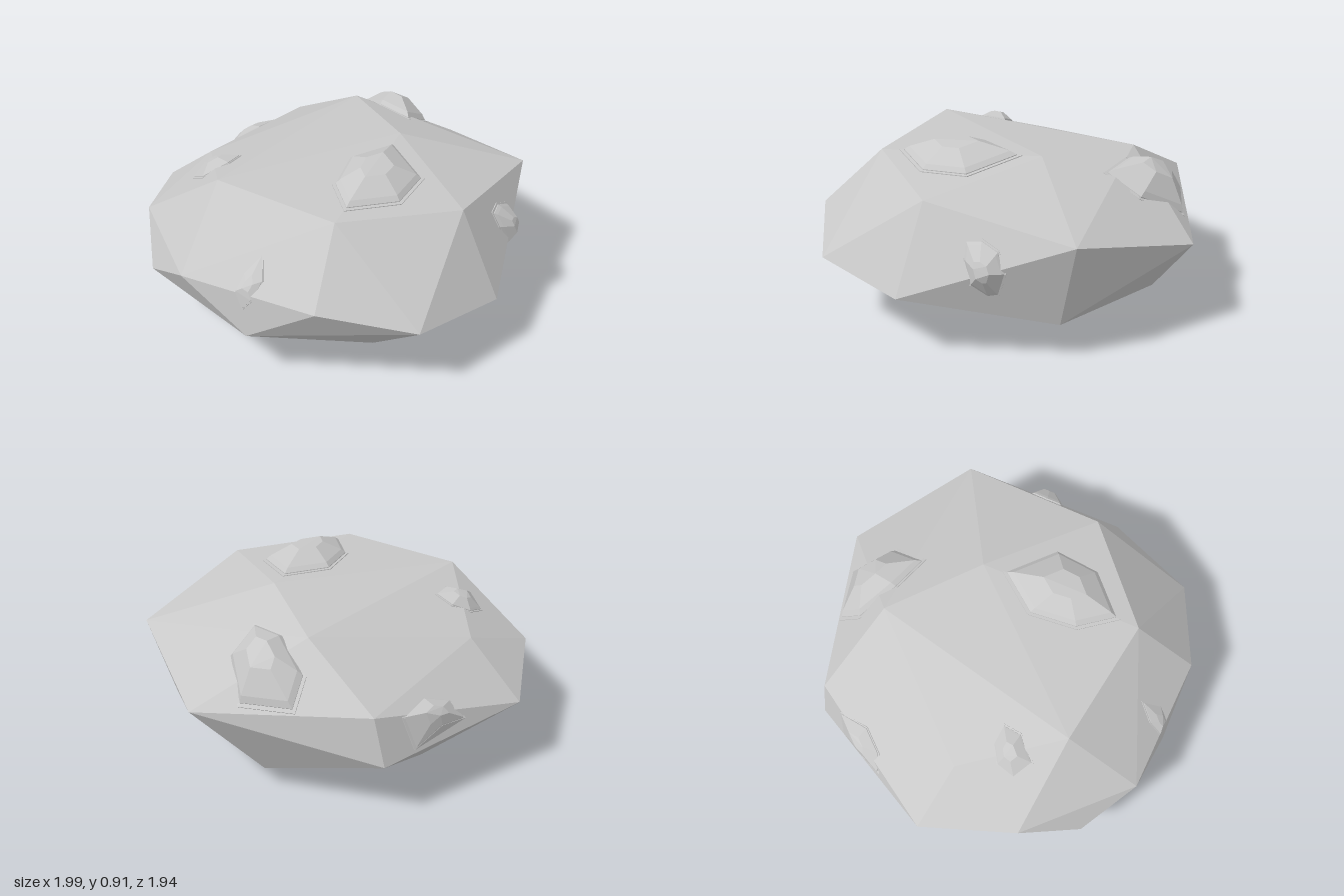
import * as THREE from 'three';
import { ConvexGeometry } from 'three/addons/geometries/ConvexGeometry.js';

const V = (x, y, z) => new THREE.Vector3(x, y, z);

export function createModel() {
  const group = new THREE.Group();
  const stone = new THREE.MeshStandardMaterial({ color: 0xc8c8c8, flatShading: true });
  stone.name = 'stone grey';

  // Main boulder: a faceted hull, listed from the top down
  const corners = [
    [0.3, 0.85, -0.2], [-0.08, 0.81, -0.6], [-0.42, 0.81, 0.5], [0.25, 0.8, 0.65], [0.77, 0.76, 0.27],
    [0.9, 0.65, -0.49], [-0.7, 0.65, 0], [-0.5, 0.57, -0.79], [0.38, 0.49, -0.97],
    [0.27, 0.49, 0.97], [-0.45, 0.485, 0.89], [-0.88, 0.49, 0.4], [-1, 0.4, -0.1],
    [0.73, 0.39, 0.81], [0.985, 0.34, 0.35], [-0.72, 0.33, 0.69], [-0.56, 0.32, -0.8], [-0.09, 0.26, 0.95],
    [0.8, 0.2, -0.4], [0.1, 0.11, -0.75], [-0.56, 0.07, 0.42], [0.42, 0.06, 0.55],
    [-0.55, 0.065, -0.255], [0.22, 0, -0.1],
  ].map(p => V(...p));
  const boulder = new THREE.Mesh(new ConvexGeometry(corners), stone);
  boulder.name = 'boulder';
  group.add(boulder);

  // Maps a 2D outline point to a point far out along the chosen axis
  const lift = {
    x: ([z, y]) => V(3, y, z),
    y: ([x, z]) => V(x, 3, z),
    z: ([x, y]) => V(x, y, 3),
  };

  // Chipped stone set on the boulder: thin rim, low wall, sloped facets, small flat crown
  function chip(name, axis, height, outline) {
    const dir = V(axis === 'x' ? -1 : 0, axis === 'y' ? -1 : 0, axis === 'z' ? -1 : 0);
    const far = outline.map(lift[axis]);
    const mid = far.reduce((a, p) => a.add(p), V(0, 0, 0)).divideScalar(far.length);
    const hit = p => new THREE.Raycaster(p, dir).intersectObject(boulder)[0];

    // Average surface normal under the outline
    const centre = hit(mid).point;
    const normal = V(0, 0, 0);
    for (const p of [mid, ...far]) {
      const h = hit(p);
      if (h) normal.add(h.face.normal);
    }
    normal.normalize();

    // Seat follows the boulder, or its tangent plane past the edge
    const seat = far.map(p => hit(p)?.point
      ?? p.clone().addScaledVector(dir, normal.dot(p.clone().sub(centre)) / -normal.dot(dir)));

    const part = new THREE.Group();
    part.name = name;
    const layers = (label, rings) => {
      const points = rings.flatMap(([scale, level]) =>
        seat.map(p => centre.clone().lerp(p, scale).addScaledVector(normal, level)));
      const mesh = new THREE.Mesh(new ConvexGeometry(points), stone);
      mesh.name = label;
      part.add(mesh);
    };
    layers('rim', [[1, -0.03], [1, 0.004]]);
    layers('facets', [[0.92, -0.03], [0.92, 0.008], [0.82, height * 0.35], [0.36, height]]);
    group.add(part);
  }

  chip('topChip', 'y', 0.08, [[0.3, -0.1], [0.53, 0.12], [0.49, 0.37], [0.26, 0.55], [0.13, 0.36], [0.12, 0.1]]);
  chip('backChip', 'y', 0.09, [[-0.13, -0.86], [-0.13, -0.73], [0.06, -0.58], [0.26, -0.5], [0.31, -0.69], [0.15, -0.9]]);
  chip('backRightChip', 'y', 0.035, [[-0.81, -0.38], [-0.73, -0.4], [-0.63, -0.5], [-0.59, -0.67], [-0.65, -0.65], [-0.74, -0.52]]);
  chip('rightChip', 'y', 0.04, [[-0.66, 0.3], [-0.63, 0.2], [-0.54, 0.15], [-0.44, 0.17], [-0.46, 0.27], [-0.57, 0.37]]);
  chip('frontChip', 'z', 0.02, [[-0.06, 0.64], [-0.02, 0.55], [-0.06, 0.46], [-0.11, 0.4], [-0.15, 0.49], [-0.13, 0.56]]);
  chip('leftChip', 'x', 0.05, [[0.04, 0.63], [-0.04, 0.64], [-0.13, 0.6], [-0.17, 0.5], [-0.13, 0.37], [-0.08, 0.36], [0, 0.43], [0.04, 0.55]]);

  return group;
}
